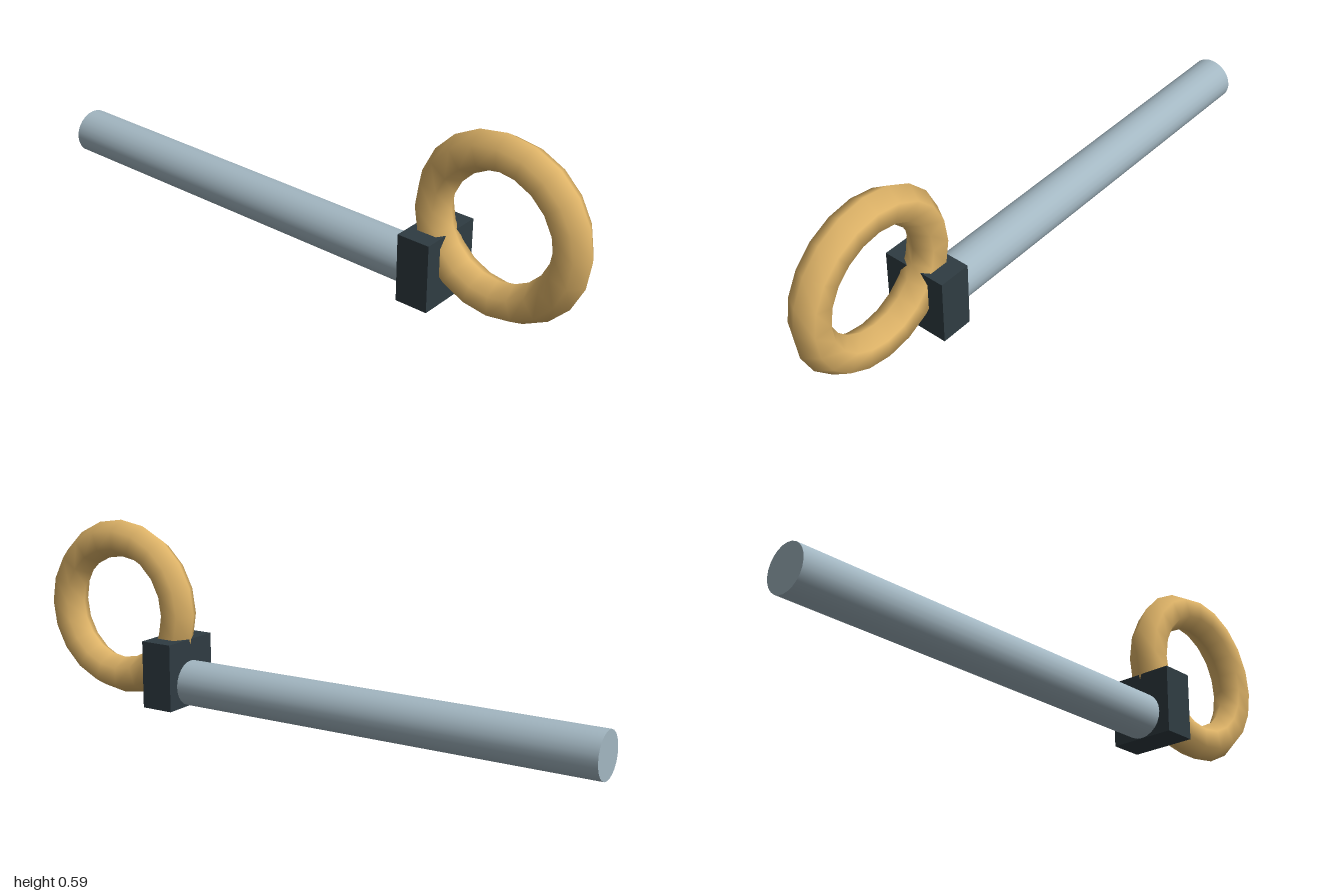
import * as THREE from 'three';

const material = (name, color) => {
  const m = new THREE.MeshStandardMaterial({ color });
  m.name = name;
  return m;
};

export function createModel() {
  const group = new THREE.Group();
  const add = (name, geometry, mat, x, y) => {
    const mesh = new THREE.Mesh(geometry, mat);
    mesh.name = name;
    mesh.position.set(x, y, 0);
    group.add(mesh);
    return mesh;
  };

  // Long round rod lying along x
  const rod = new THREE.CylinderGeometry(0.074, 0.074, 1.44, 24).rotateZ(Math.PI / 2);
  add('rod', rod, material('steel blue grey', 0xa3b7c2), -0.28, 0.075);

  // Square collar joining rod and ring
  add('collar', new THREE.BoxGeometry(0.11, 0.22, 0.22), material('dark slate', 0x2f3c42), 0.485, 0.11);

  // Ring handle with a six-sided section
  add('ring', new THREE.TorusGeometry(0.231, 0.061, 6, 20), material('brass', 0xdfb468), 0.707, 0.295);

  return group;
}
